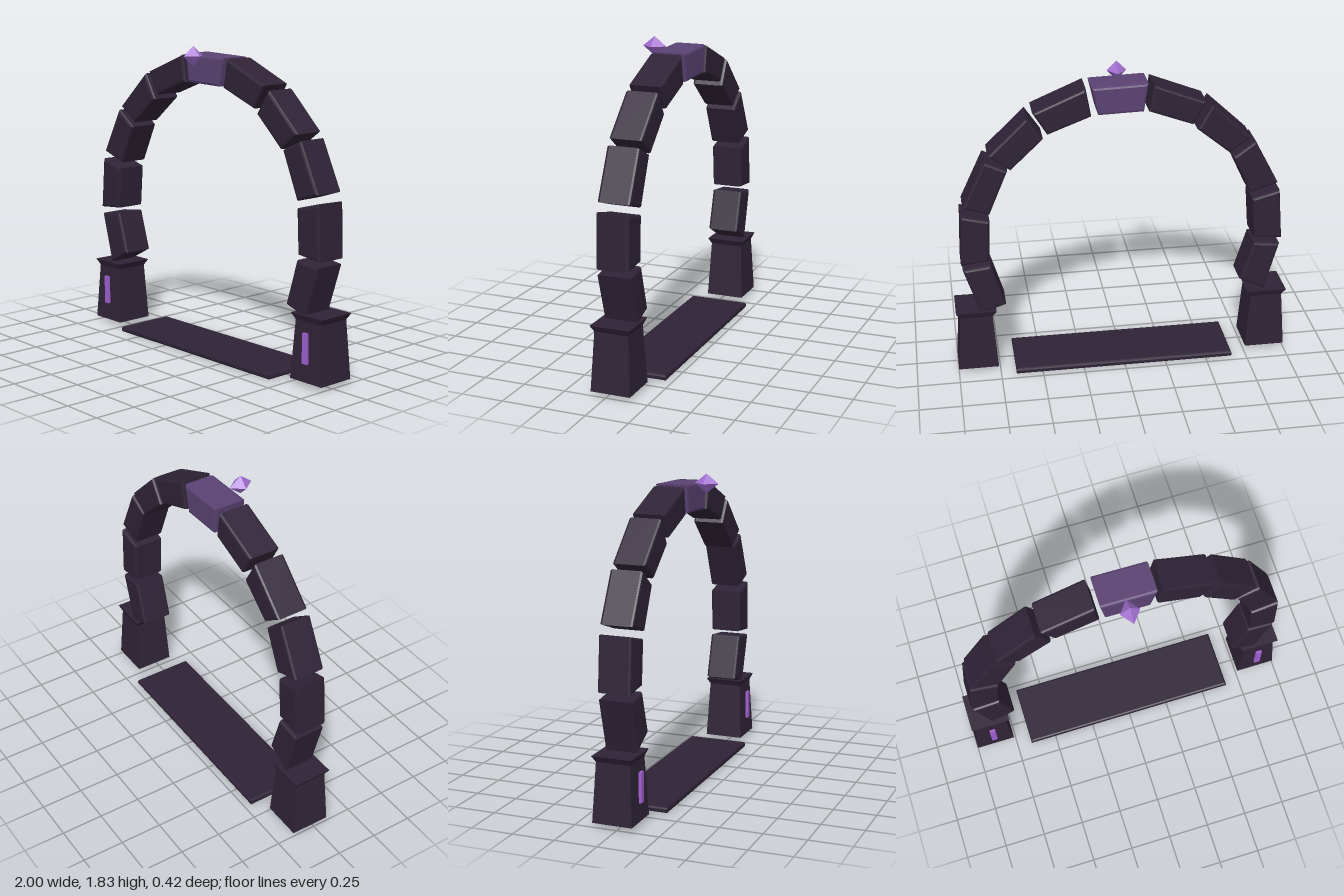
import * as THREE from 'three';

const stone = new THREE.MeshStandardMaterial({ name: 'darkStone', color: 0x2f2336 });
const keyStone = new THREE.MeshStandardMaterial({ name: 'purpleStone', color: 0x5a4272 });
const glow = new THREE.MeshStandardMaterial({ name: 'glowingRune', color: 0xa05fd2 });
const gem = new THREE.MeshStandardMaterial({ name: 'crystal', color: 0xa26fd0 });

// Front outlines of the arch stones, from the left-hand foot over the top to the other foot
const BLOCKS = [
  [[-0.95, 0.71], [-0.79, 0.73], [-0.715, 0.485], [-0.865, 0.405]],
  [[-0.935, 1.065], [-0.77, 1.02], [-0.79, 0.765], [-0.96, 0.75]],
  [[-0.775, 1.39], [-0.645, 1.295], [-0.755, 1.06], [-0.92, 1.115]],
  [[-0.515, 1.635], [-0.43, 1.485], [-0.625, 1.325], [-0.75, 1.415]],
  [[-0.175, 1.77], [-0.15, 1.61], [-0.405, 1.515], [-0.48, 1.65]],
  [[-0.145, 1.78], [0.178, 1.77], [0.14, 1.605], [-0.12, 1.612]],
  [[0.21, 1.768], [0.512, 1.64], [0.43, 1.505], [0.18, 1.6]],
  [[0.545, 1.615], [0.772, 1.395], [0.645, 1.3], [0.455, 1.48]],
  [[0.795, 1.362], [0.928, 1.08], [0.775, 1.03], [0.662, 1.3]],
  [[0.942, 1.03], [0.953, 0.712], [0.788, 0.73], [0.776, 0.99]],
  [[0.945, 0.68], [0.85, 0.385], [0.7, 0.435], [0.78, 0.7]],
];

// Slab with chamfered edges that keeps the given outline and thickness
function bevelledSlab(points, thickness, bevel) {
  const shape = new THREE.Shape(points.map(([x, y]) => new THREE.Vector2(x, y)));
  const geo = new THREE.ExtrudeGeometry(shape, {
    depth: thickness - 2 * bevel, bevelEnabled: true, bevelSegments: 2,
    bevelThickness: bevel, bevelSize: bevel, bevelOffset: -bevel,
  });
  return geo.translate(0, 0, bevel);
}

// Tapered pillar foot with a flared rim
function pedestalGeometry() {
  const geo = new THREE.BoxGeometry(0.24, 0.38, 0.235, 1, 2, 1).toNonIndexed();
  const p = geo.attributes.position;
  for (let i = 0; i < p.count; i++) {
    if (Math.abs(p.getY(i)) < 0.01) {
      p.setXYZ(i, p.getX(i) * 0.8, 0.152, p.getZ(i) * 0.86);
    }
  }
  geo.computeVertexNormals();
  return geo;
}

export function createModel() {
  const group = new THREE.Group();
  group.name = 'stoneArchway';
  const add = (name, geo, mat, x = 0, y = 0, z = 0) => {
    const mesh = new THREE.Mesh(geo, mat);
    mesh.name = name;
    mesh.position.set(x, y, z);
    group.add(mesh);
    return mesh;
  };

  // Ring of arch stones, with the lighter keystone in the middle
  BLOCKS.forEach((outline, i) => {
    const isKey = i === 5;
    add(isKey ? 'keystone' : 'archStone' + (i + 1), bevelledSlab(outline, 0.195, 0.015),
      isKey ? keyStone : stone, 0, 0, -0.124);
  });

  // Pedestals with a floating rune bar in front
  for (const s of [-1, 1]) {
    const side = s > 0 ? 'left' : 'right';
    add(side + 'Pedestal', pedestalGeometry(), stone, s * 0.88, 0.215, -0.0275);
    add(side + 'Rune', new THREE.BoxGeometry(0.036, 0.175, 0.016), glow, s * 0.88, 0.222, 0.096);
  }

  // Threshold slab on the ground
  const floor = bevelledSlab(
    [[-0.66, -0.157], [0.66, -0.157], [0.66, 0.212], [-0.66, 0.212]], 0.036, 0.012);
  add('threshold', floor.rotateX(-Math.PI / 2), stone);

  // Crystal hovering before the keystone
  const crystal = new THREE.OctahedronGeometry(1).scale(0.057, 0.057, 0.073);
  crystal.computeVertexNormals();
  add('crystal', crystal, gem, 0, 1.776, 0.135);

  return group;
}
